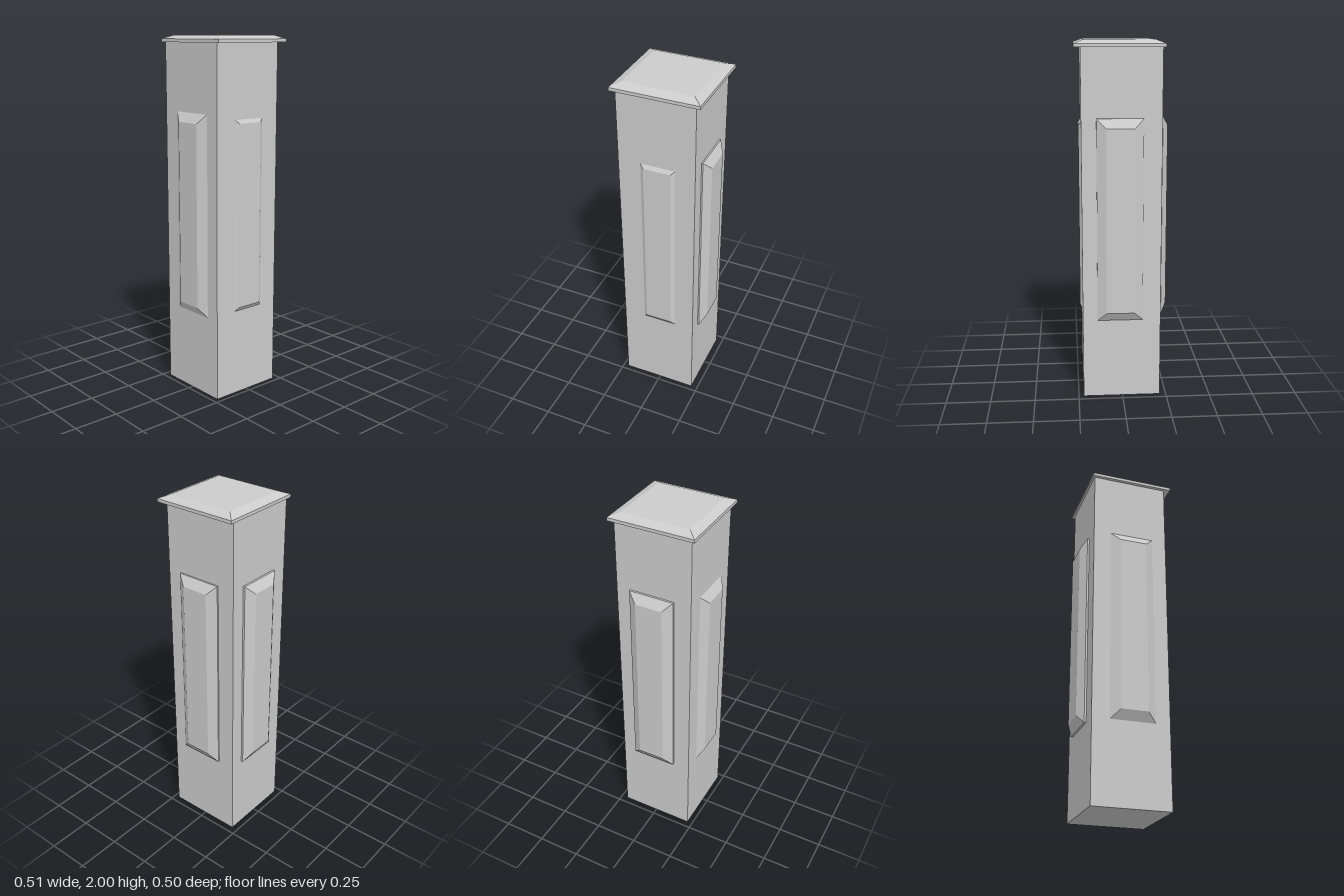
import * as THREE from 'three';

const material = new THREE.MeshStandardMaterial({ color: 0xcccccc, flatShading: true });

// Block facing +z: straight rim from z = 0, then sloping sides up to a smaller flat face
function bevelledBlock(width, height, rim, bevel, inset) {
  const box = new THREE.BoxGeometry(width, height, 2, 1, 1, 2);
  const p = box.attributes.position;
  for (let i = 0; i < p.count; i++) {
    const level = Math.round(p.getZ(i)) + 1; // 0 back, 1 rim edge, 2 face
    if (level === 2) {
      p.setX(i, p.getX(i) - Math.sign(p.getX(i)) * inset);
      p.setY(i, p.getY(i) - Math.sign(p.getY(i)) * inset);
    }
    p.setZ(i, [0, rim, rim + bevel][level]);
  }
  const geometry = box.toNonIndexed();
  geometry.computeVertexNormals();
  return geometry;
}

export function createModel() {
  const group = new THREE.Group();
  const add = (name, geometry, x, y, z) => {
    const mesh = new THREE.Mesh(geometry, material);
    mesh.name = name;
    mesh.position.set(x, y, z);
    group.add(mesh);
    return mesh;
  };

  // Square post
  add('post', new THREE.BoxGeometry(0.436, 1.965, 0.432), 0.004, 0.9825, 0.004);

  // Cap with sloping edges, slightly off centre
  const cap = add('cap', bevelledBlock(0.484, 0.483, 0.018, 0.02, 0.05), 0.015, 1.962, -0.0035);
  cap.rotation.x = -Math.PI / 2;

  // Raised panels: name, x, z, turn about y, rim depth
  const panels = [
    ['frontPanel', 0.013, 0.217, 0, 0.003],
    ['backPanel', 0.013, -0.21, Math.PI, 0.01],
    ['leftPanel', 0.202, -0.0035, Math.PI / 2, 0.001], // partly sunk into the post
    ['rightPanel', -0.213, -0.0045, -Math.PI / 2, 0.012],
  ];
  for (const [name, x, z, turn, rim] of panels) {
    const panel = add(name, bevelledBlock(0.255, 1.13, rim, 0.032, 0.051), x, 1.026, z);
    panel.rotation.y = turn;
  }
  return group;
}
